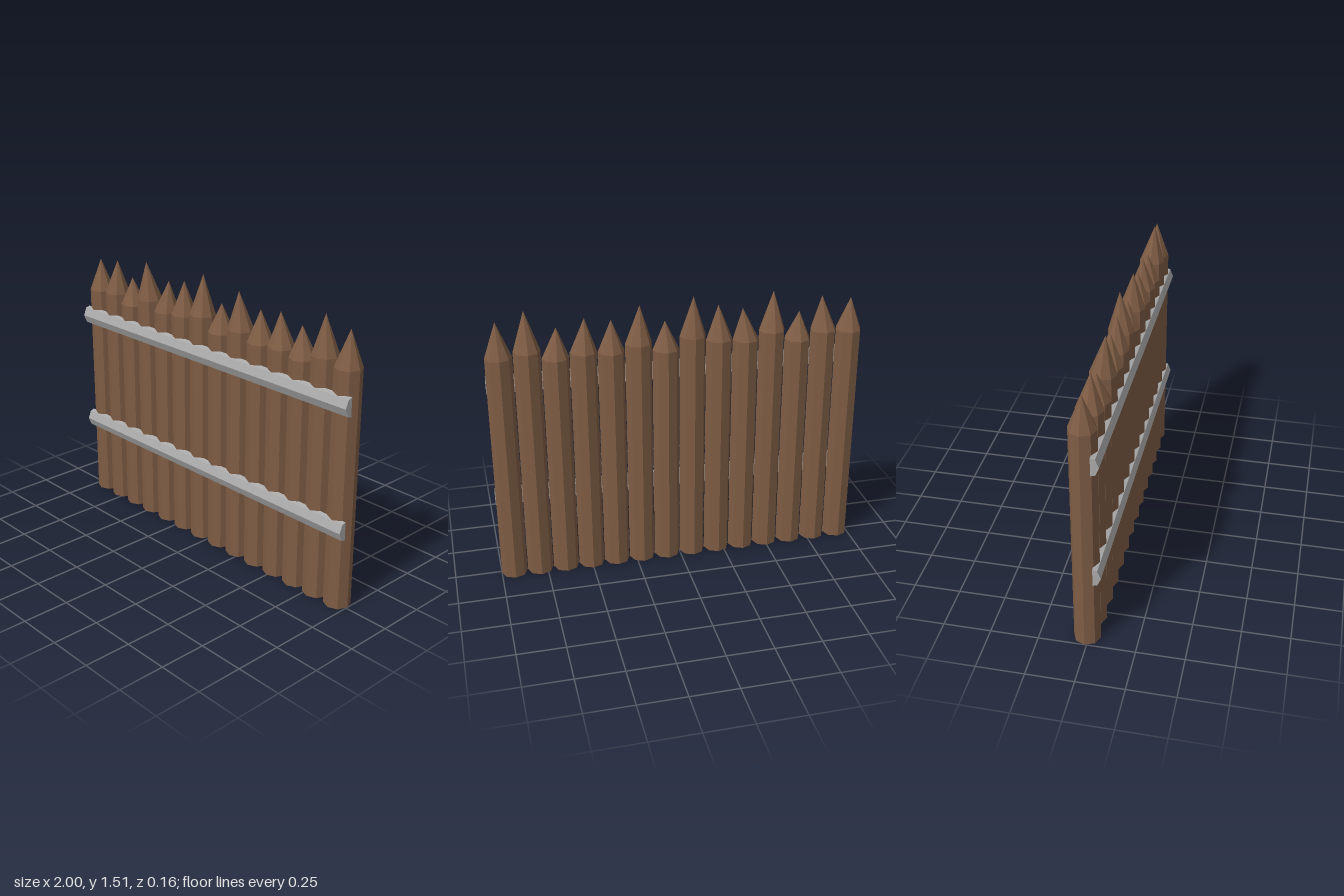
import * as THREE from 'three';

const wood = new THREE.MeshStandardMaterial({ color: 0x7f5d45, flatShading: true });
wood.name = 'brown wood';
const rail = new THREE.MeshStandardMaterial({ color: 0xa9a9a9, flatShading: true });
rail.name = 'grey rail';

const RADIUS = 0.07;
const STAKE_Z = -0.01;

// Tip height and sideways lean (x, z) of each stake, from right to left
const STAKES = [
  [1.435, -0.005, 0], [1.456, 0.012, 0.005], [1.381, -0.006, 0], [1.5, -0.009, 0.015],
  [1.424, 0.018, 0], [1.451, 0.005, 0.005], [1.512, -0.003, -0.008], [1.39, 0.003, 0],
  [1.483, -0.01, 0.005], [1.419, -0.003, 0], [1.44, -0.01, 0], [1.403, -0.009, 0],
  [1.5, 0.003, 0.012], [1.456, 0.005, 0],
];

// Octagonal log with a slightly crooked sharpened point
function makeStake([tip, leanX, leanZ]) {
  const stake = new THREE.Group();
  stake.name = 'stake';
  const shoulder = 1.23 + (tip - 1.38) * 0.5;

  const log = new THREE.CylinderGeometry(RADIUS, RADIUS, shoulder, 8);
  log.translate(0, shoulder / 2, 0);
  const logMesh = new THREE.Mesh(log, wood);
  logMesh.name = 'log';

  const height = tip - shoulder;
  const point = new THREE.ConeGeometry(RADIUS, height, 8, 1, true);
  point.translate(0, height / 2, 0);
  const p = point.attributes.position;
  for (let i = 0; i < p.count; i++) {
    const t = p.getY(i) / height;
    p.setX(i, p.getX(i) + leanX * t);
    p.setZ(i, p.getZ(i) + leanZ * t);
  }
  point.computeVertexNormals();
  const pointMesh = new THREE.Mesh(point, wood);
  pointMesh.name = 'point';
  pointMesh.position.y = shoulder;

  stake.add(logMesh, pointMesh);
  return stake;
}

// Half-round crossbar spanning the whole fence
function makeRail(y) {
  const profile = new THREE.Shape([
    [0.038, -0.05], [0.062, -0.043], [0.08, 0], [0.062, 0.043], [0.038, 0.05],
  ].map(([z, h]) => new THREE.Vector2(-z, h)));
  const geometry = new THREE.ExtrudeGeometry(profile, { depth: 2, bevelEnabled: false });
  geometry.translate(0, 0, -1);
  geometry.rotateY(Math.PI / 2);
  const mesh = new THREE.Mesh(geometry, rail);
  mesh.name = 'crossRail';
  mesh.position.y = y;
  return mesh;
}

export function createModel() {
  const fence = new THREE.Group();
  fence.name = 'palisadeFence';

  // Row of stakes
  STAKES.forEach((spec, i) => {
    const stake = makeStake(spec);
    stake.position.set(-0.93 + (i * 1.86) / (STAKES.length - 1), 0, STAKE_Z);
    fence.add(stake);
  });

  // Two crossbars on the front
  for (const y of [0.45, 1.1]) fence.add(makeRail(y));
  return fence;
}
